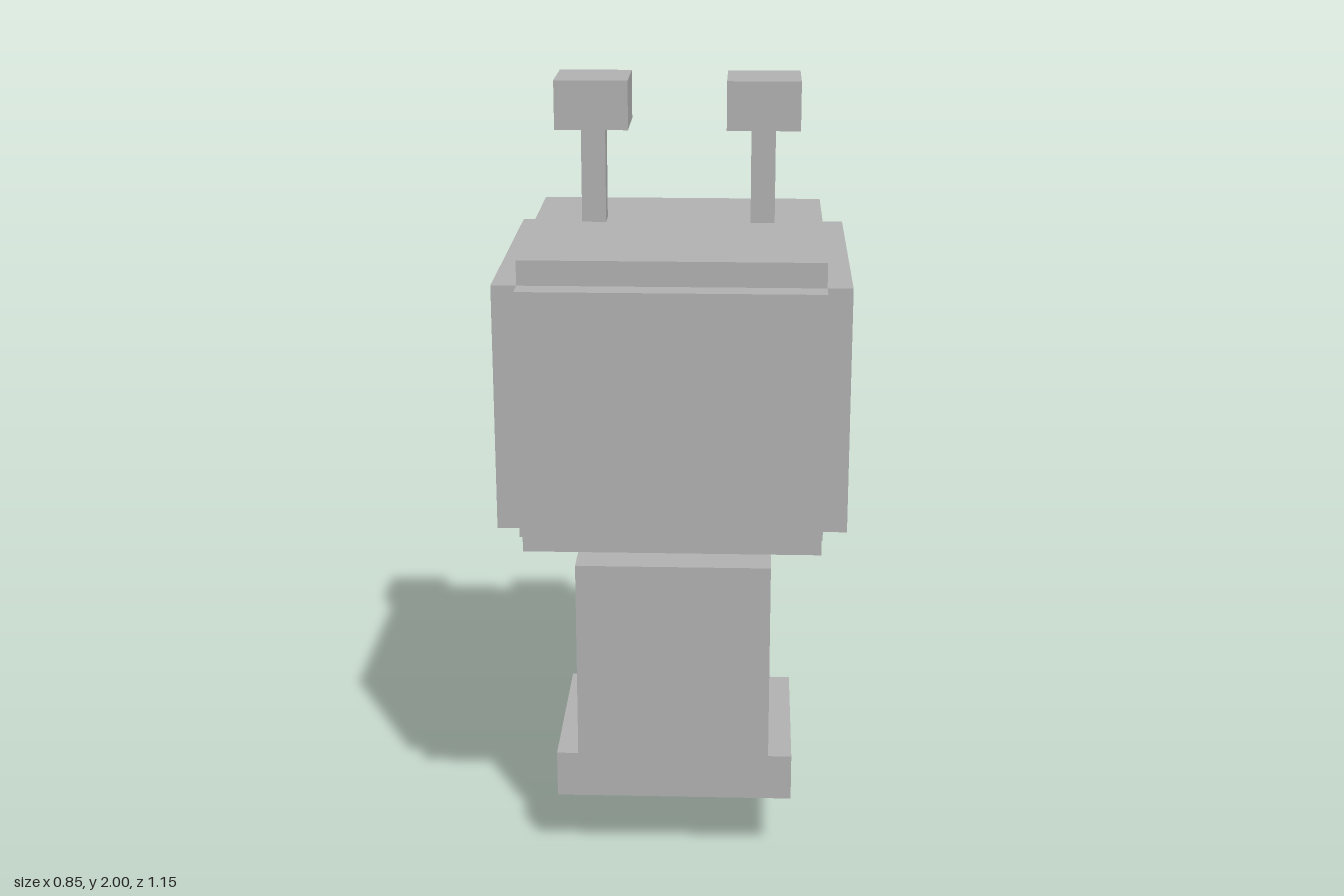
import * as THREE from 'three';

// One voxel; all coordinates below are in voxels
const U = 2 / 33;

export function createModel() {
  const model = new THREE.Group();
  const grey = new THREE.MeshStandardMaterial({ color: 0xb2b2b2 });
  grey.name = 'grey';

  function part(name) {
    const group = new THREE.Group();
    group.name = name;
    model.add(group);
    return group;
  }

  // Box given by its two opposite corners
  function box(parent, name, x0, x1, y0, y1, z0, z1) {
    const geometry = new THREE.BoxGeometry((x1 - x0) * U, (y1 - y0) * U, (z1 - z0) * U);
    const mesh = new THREE.Mesh(geometry, grey);
    mesh.name = name;
    mesh.position.set((x0 + x1) / 2 * U, (y0 + y1) / 2 * U, (z0 + z1) / 2 * U);
    parent.add(mesh);
  }

  // The same box on both sides
  function pair(parent, name, x0, x1, y0, y1, z0, z1) {
    box(parent, name + 'Left', x0, x1, y0, y1, z0, z1);
    box(parent, name + 'Right', -x1, -x0, y0, y1, z0, z1);
  }

  // Chair
  const chair = part('chair');
  box(chair, 'seat', -5, 5, 3, 5, -1.5, 6.5);
  box(chair, 'backrest', -4, 4, 5, 14, 5.5, 7.5);

  // Head: a core with a plate raised on every face
  const head = part('head');
  box(head, 'headCore', -6, 6, 15, 27, -3.5, 8.5);
  pair(head, 'headSide', 6, 7, 16, 26, -3.5, 8.5);
  box(head, 'face', -6, 6, 16, 26, -4.5, -3.5);
  box(head, 'headBack', -6, 6, 16, 26, 8.5, 9.5);
  pair(head, 'antennaStalk', 3, 4, 27, 31, 0.5, 1.5);
  head.children.filter((m) => m.name === 'antennaStalkRight').forEach((m) => { m.position.x = -3.5 * U; });
  pair(head, 'antennaTip', 2, 5, 31, 33, -0.5, 2.5);

  // Torso, with a tapering collar on the chest
  const body = part('body');
  box(body, 'neck', -1, 1, 14, 15, 1.5, 3.5);
  box(body, 'torso', -3, 3, 5, 14, 0.5, 4.5);
  [[3, 13, 14], [2, 11, 13], [1, 10, 11]].forEach(([w, y0, y1]) =>
    box(body, 'collar', -w, w, y0, y1, -0.5, 0.5));

  // Arms reaching forward
  const arms = part('arms');
  pair(arms, 'shoulder', 3, 4, 12, 14, 1.5, 3.5);
  pair(arms, 'forearm', 2, 4, 11, 13, -3.5, 1.5);
  pair(arms, 'hand', 2, 3, 11, 13, -5.5, -3.5);

  // Bent legs
  const legs = part('legs');
  pair(legs, 'thigh', 1, 3, 5, 9, -2.5, 0.5);
  pair(legs, 'knee', 1, 3, 5, 7, -5.5, -2.5);
  pair(legs, 'shin', 1, 3, 0, 5, -5.5, -3.5);
  pair(legs, 'foot', 1, 3, 0, 2, -6.5, -5.5);

  // Held object: a hoop with blocks hanging in front
  const toy = part('heldObject');
  box(toy, 'hoopTop', -2, 2, 12, 13, -6.5, -5.5);
  pair(toy, 'hoopPost', 1, 2, 9, 12, -6.5, -5.5);
  box(toy, 'upperBlock', -1, 1, 8, 10, -8.5, -6.5);
  box(toy, 'lowerBlock', -1, 1, 6, 8, -9.5, -8.5);

  return model;
}
